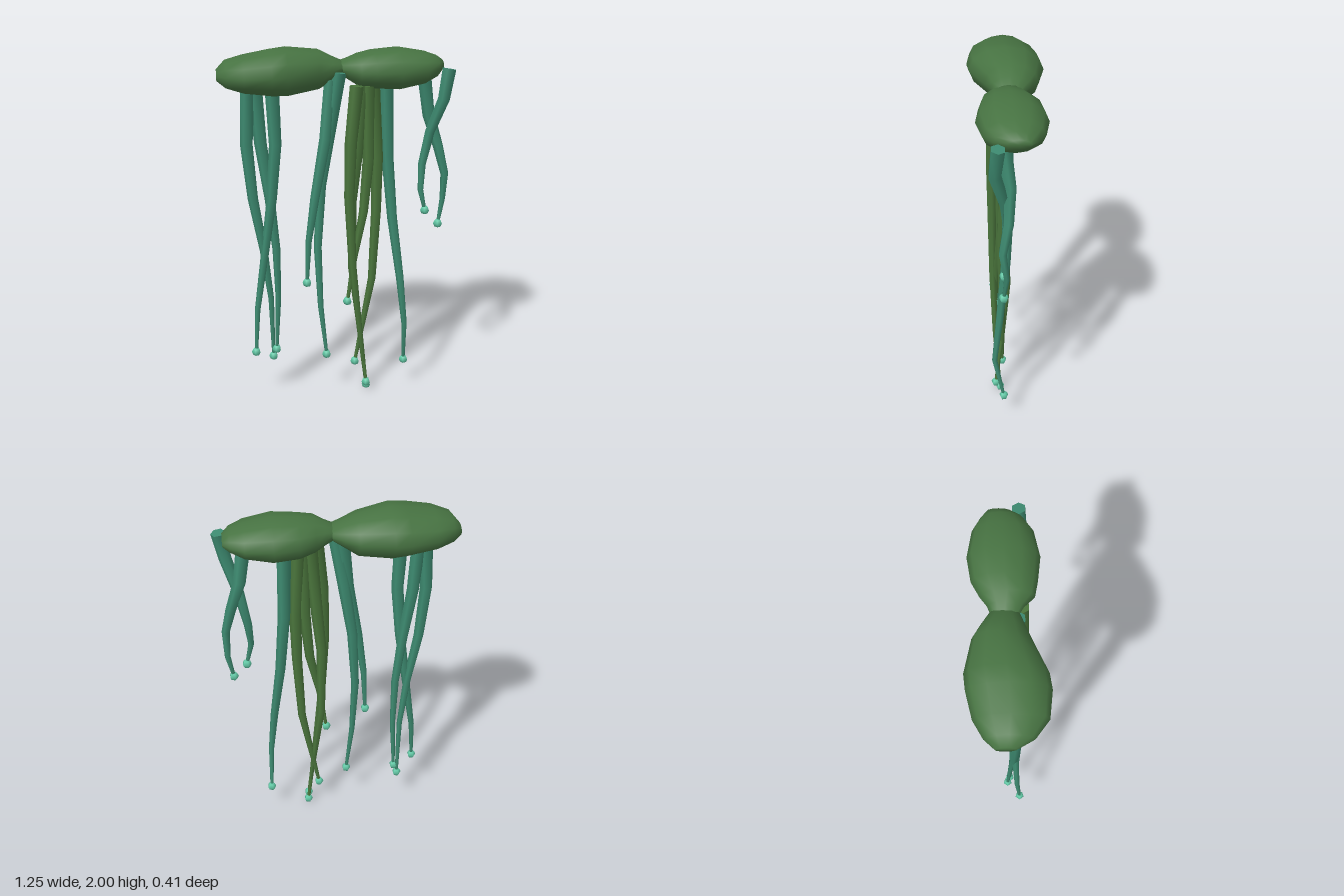
import * as THREE from 'three';

const mat = (name, color) => {
  const m = new THREE.MeshStandardMaterial({ color });
  m.name = name;
  return m;
};

// Skins a list of rings, each { c: centre, u, v: half-axis vectors }, and closes both ends.
function loft(rings, sides, sharpEnds) {
  const pos = [], idx = [];
  const addRing = ({ c, u, v }) => {
    const first = pos.length / 3;
    for (let j = 0; j < sides; j++) {
      const a = (j / sides) * Math.PI * 2;
      const p = c.clone().addScaledVector(u, Math.cos(a)).addScaledVector(v, Math.sin(a));
      pos.push(p.x, p.y, p.z);
    }
    return first;
  };
  const starts = rings.map(addRing);
  for (let i = 0; i < rings.length - 1; i++) {
    for (let j = 0; j < sides; j++) {
      const k = (j + 1) % sides, a = starts[i], b = starts[i + 1];
      idx.push(a + j, a + k, b + j, a + k, b + k, b + j);
    }
  }
  [0, rings.length - 1].forEach((r, end) => {
    const s = sharpEnds ? addRing(rings[r]) : starts[r];
    const centre = pos.length / 3;
    pos.push(...rings[r].c.toArray());
    for (let j = 0; j < sides; j++) {
      const k = (j + 1) % sides;
      idx.push(centre, s + (end ? j : k), s + (end ? k : j));
    }
  });
  const g = new THREE.BufferGeometry();
  g.setAttribute('position', new THREE.Float32BufferAttribute(pos, 3));
  g.setIndex(idx);
  g.computeVertexNormals();
  return g;
}

// Canopy lobe stations: x, bottom y, top y, back z, front z
const LEAF_LOBES = {
  rightLobe: [
    [-0.625, 1.83, 1.89, -0.065, 0.035],
    [-0.58, 1.795, 1.94, -0.115, 0.118],
    [-0.49, 1.77, 1.965, -0.165, 0.185],
    [-0.35, 1.75, 1.99, -0.197, 0.2],
    [-0.27, 1.745, 2.0, -0.205, 0.188],
    [-0.1, 1.77, 1.98, -0.168, 0.11],
    [-0.03, 1.815, 1.945, -0.125, 0.08],
    [0.04, 1.855, 1.915, -0.075, 0.05],
  ],
  leftLobe: [
    [0.0, 1.86, 1.915, -0.075, 0.045],
    [0.06, 1.82, 1.938, -0.095, 0.08],
    [0.11, 1.788, 1.96, -0.13, 0.13],
    [0.19, 1.77, 1.975, -0.172, 0.145],
    [0.32, 1.762, 1.985, -0.192, 0.16],
    [0.46, 1.79, 1.96, -0.167, 0.13],
    [0.53, 1.825, 1.935, -0.125, 0.08],
    [0.565, 1.86, 1.91, -0.095, 0.02],
  ],
};

// Hanging vines, top to tip: x, y, z
const TEAL_VINES = [
  [[-0.47, 1.79, 0.04], [-0.485, 1.5, 0.035], [-0.46, 1.2, 0.03], [-0.41, 0.9, 0.03], [-0.375, 0.6, 0.015], [-0.368, 0.23, -0.003]],
  [[-0.43, 1.79, 0.02], [-0.41, 1.5, 0.015], [-0.37, 1.2, 0.02], [-0.34, 0.9, 0.025], [-0.335, 0.6, 0.02], [-0.35, 0.28, 0.01]],
  [[-0.345, 1.79, 0.05], [-0.335, 1.5, 0.055], [-0.36, 1.2, 0.05], [-0.405, 0.88, 0.04], [-0.455, 0.55, 0.05], [-0.47, 0.3, 0.068]],
  [[-0.035, 1.83, 0.03], [-0.07, 1.52, 0.05], [-0.13, 1.2, 0.07], [-0.165, 0.95, 0.06], [-0.175, 0.7, 0.05]],
  [[0.005, 1.87, 0.05], [-0.045, 1.55, 0.03], [-0.09, 1.25, 0.015], [-0.112, 0.9, 0.03], [-0.1, 0.55, 0.05], [-0.068, 0.25, 0.055]],
  [[0.262, 1.78, 0.01], [0.275, 1.4, 0.0], [0.305, 1.05, 0.015], [0.35, 0.7, 0.05], [0.375, 0.43, 0.08], [0.387, 0.17, 0.03]],
  [[0.455, 1.86, 0.03], [0.495, 1.62, 0.0], [0.55, 1.45, 0.01], [0.585, 1.3, 0.04], [0.585, 1.15, 0.02], [0.56, 1.01, 0.035]],
  [[0.584, 1.875, 0.06], [0.557, 1.72, 0.075], [0.5, 1.535, 0.028], [0.465, 1.35, 0.012], [0.455, 1.21, 0.04], [0.485, 1.09, 0.03]],
];
const GREEN_VINES = [
  [[0.093, 1.8, 0.07], [0.062, 1.5, 0.08], [0.055, 1.2, 0.08], [0.075, 0.8, 0.08], [0.12, 0.4, 0.07], [0.165, 0.03, 0.045]],
  [[0.128, 1.8, 0.04], [0.103, 1.45, 0.04], [0.077, 1.15, 0.02], [0.085, 0.75, 0.0], [0.125, 0.4, 0.03], [0.16, 0.06, 0.07]],
  [[0.16, 1.8, 0.05], [0.165, 1.4, 0.035], [0.14, 1.1, 0.04], [0.09, 0.85, 0.06], [0.05, 0.58, 0.063]],
  [[0.185, 1.8, 0.03], [0.214, 1.4, 0.02], [0.211, 1.1, 0.032], [0.192, 0.7, 0.035], [0.143, 0.42, 0.03], [0.1, 0.18, 0.03]],
];

export function createModel() {
  const model = new THREE.Group();
  const leaf = mat('leaf green', 0x477342);
  const teal = mat('teal vine', 0x3d8a70);
  const green = mat('green vine', 0x4a753c);
  const bud = mat('mint bud', 0x62c9a6);

  // Canopy of two lumpy lobes
  for (const [name, stations] of Object.entries(LEAF_LOBES)) {
    const rings = stations.map(([x, y0, y1, z0, z1]) => ({
      c: new THREE.Vector3(x, (y0 + y1) / 2, (z0 + z1) / 2),
      u: new THREE.Vector3(0, (y1 - y0) / 2, 0),
      v: new THREE.Vector3(0, 0, (z1 - z0) / 2),
    }));
    const lobe = new THREE.Mesh(loft(rings, 12, false), leaf);
    lobe.name = name;
    model.add(lobe);
  }

  // Tapering vine with a small smooth bud at its tip
  const budGeometry = new THREE.SphereGeometry(0.026, 5, 4);
  const addVine = (points, material, name) => {
    const path = points.map((p) => new THREE.Vector3(...p));
    const last = path.length - 1;
    const rings = path.map((c, i) => {
      const dir = path[Math.min(i + 1, last)].clone().sub(path[Math.max(i - 1, 0)]).normalize();
      const r = THREE.MathUtils.lerp(0.037, 0.009, Math.pow(i / last, 1.2));
      const v = new THREE.Vector3().crossVectors(dir, new THREE.Vector3(1, 0, 0)).normalize();
      const u = new THREE.Vector3().crossVectors(v, dir);
      return { c, u: u.multiplyScalar(r), v: v.multiplyScalar(r) };
    });
    const vine = new THREE.Group();
    vine.name = name;
    const stem = new THREE.Mesh(loft(rings, 6, true), material);
    stem.name = 'stem';
    const tip = new THREE.Mesh(budGeometry, bud);
    tip.name = 'bud';
    tip.position.copy(path[last]);
    vine.add(stem, tip);
    model.add(vine);
  };
  TEAL_VINES.forEach((p, i) => addVine(p, teal, `tealVine${i + 1}`));
  GREEN_VINES.forEach((p, i) => addVine(p, green, `greenVine${i + 1}`));
  return model;
}
